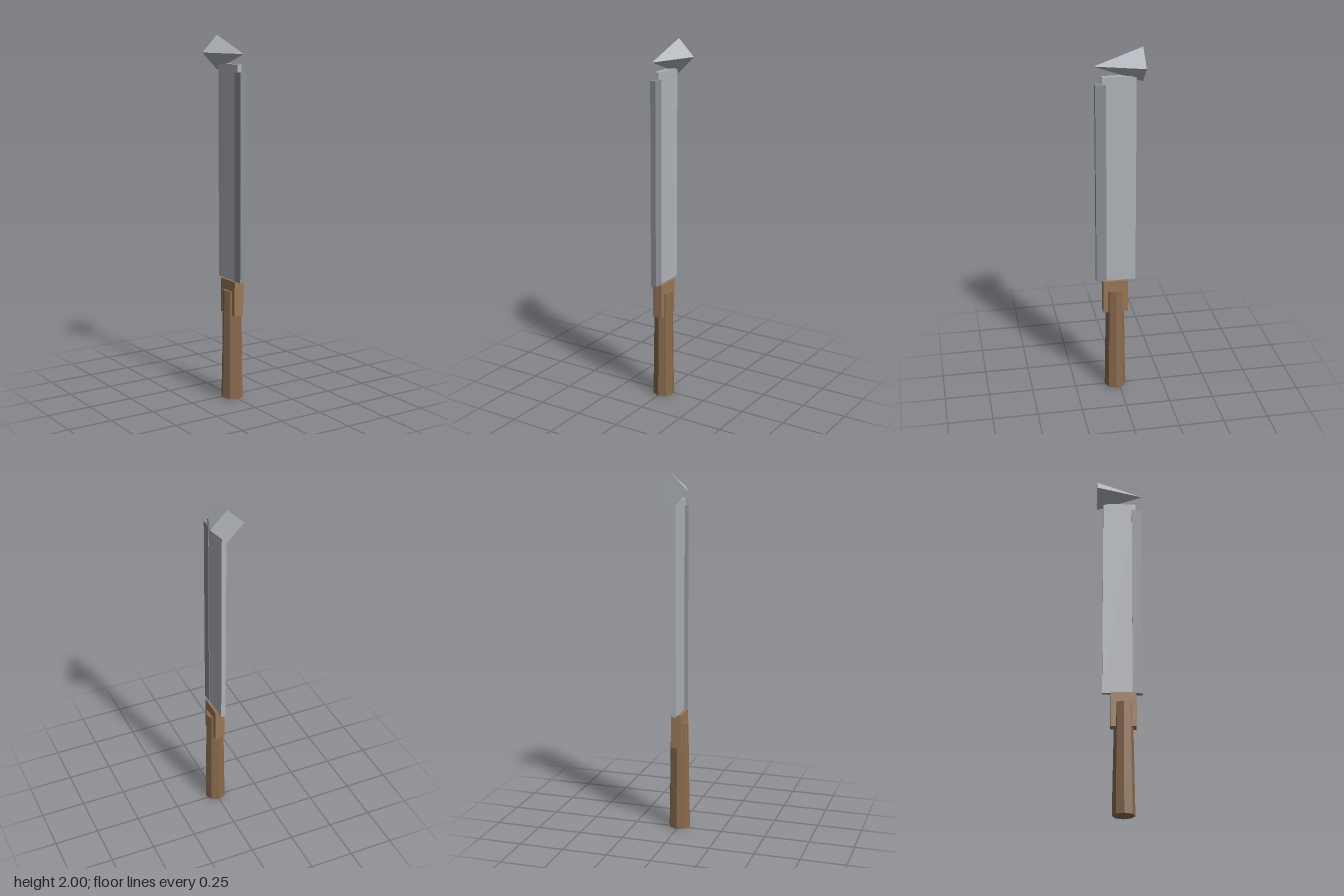
import * as THREE from 'three';

export function createModel() {
  const model = new THREE.Group();
  const mat = (color) => new THREE.MeshStandardMaterial({ color, flatShading: true });
  const wood = mat(0x8b6b4f), guardWood = mat(0x9a7858);
  const steel = mat(0xb0b4ba), darkSteel = mat(0x8c9096);

  const add = (parent, name, geometry, material, x, y, z) => {
    const mesh = new THREE.Mesh(geometry, material);
    mesh.name = name;
    mesh.position.set(x, y, z);
    parent.add(mesh);
    return mesh;
  };
  // Box given by half width and its extents in y and z
  const slab = (name, material, halfX, y0, y1, z0, z1) =>
    add(model, name, new THREE.BoxGeometry(halfX * 2, y1 - y0, z1 - z0), material,
      0, (y0 + y1) / 2, (z0 + z1) / 2);

  // Octagonal grip of stacked segments, each a little slimmer than the one below
  const handle = new THREE.Group();
  handle.name = 'handle';
  model.add(handle);
  const count = 5, step = 0.615 / count;
  for (let i = 0; i < count; i++) {
    const r = 0.06 - i * 0.002;
    add(handle, 'gripSegment', new THREE.CylinderGeometry(r - 0.001, r, step, 8), wood,
      0, (i + 0.5) * step, 0.02);
  }

  // Collar between grip and blade
  slab('guard', guardWood, 0.028, 0.48, 0.673, -0.05, 0.089);

  // Flat blade with a separate cutting strip along the front
  slab('blade', steel, 0.013, 0.673, 1.85, -0.095, 0.09);
  slab('cuttingEdge', darkSteel, 0.016, 0.673, 1.81, 0.068, 0.125);

  // Four-sided spike above the blade, pointing forward
  const tip = add(model, 'tip', new THREE.ConeGeometry(0.093, 0.262, 4), steel, 0, 1.907, 0);
  tip.rotation.x = Math.PI / 2;

  return model;
}
